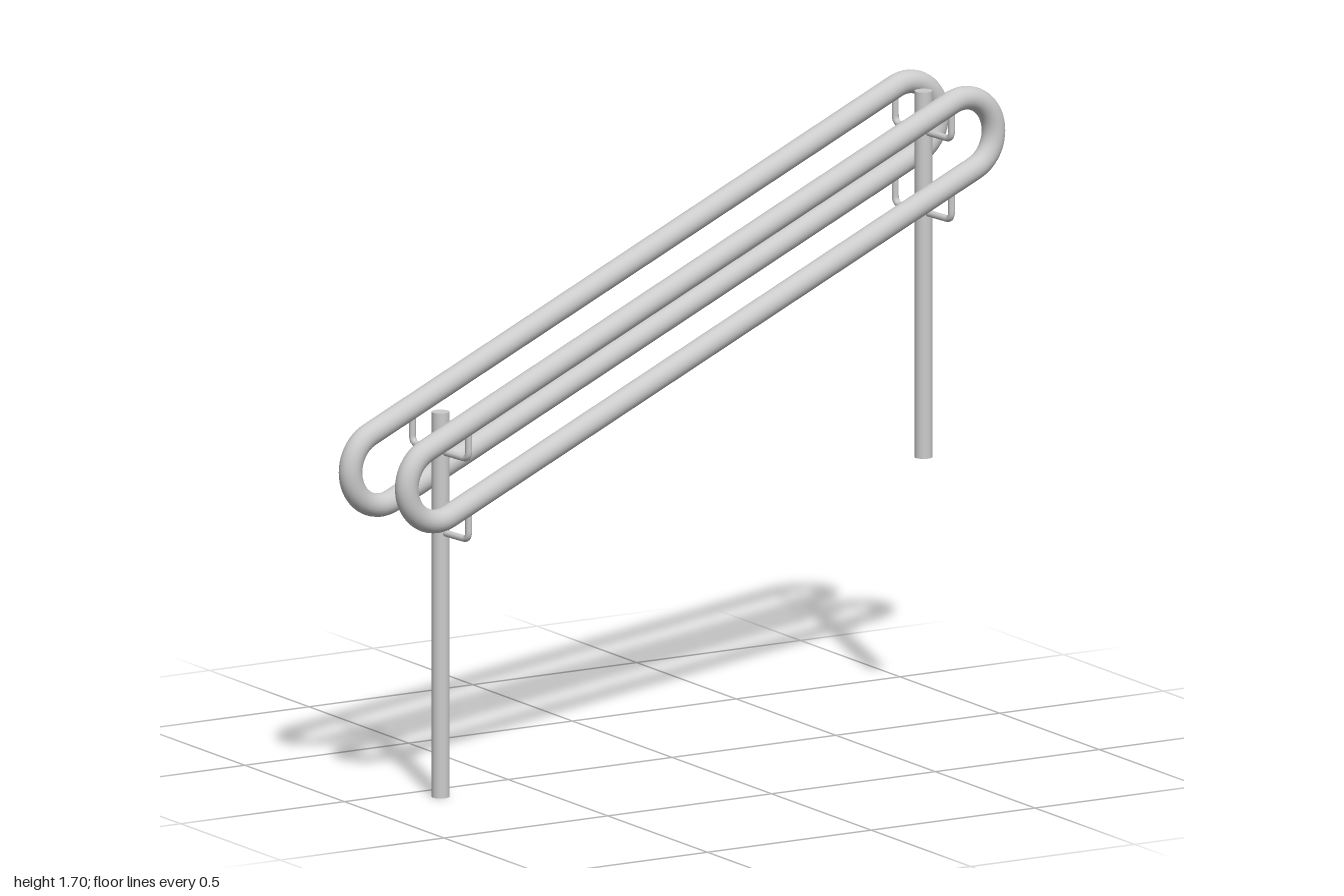
import * as THREE from 'three';

const material = new THREE.MeshStandardMaterial({ color: 0xcccccc });
const YAW = THREE.MathUtils.degToRad(6);  // rail runs slightly across the x axis
const HALF_GAP = 0.121;                   // post line to each rail loop
const MID_Y = 1.22, HALF_RUN = 0.862, HALF_RISE = 0.347;
const LOOP_R = 0.1, TUBE_R = 0.031;
const pitch = Math.atan2(HALF_RISE, HALF_RUN);
const halfLen = Math.hypot(HALF_RUN, HALF_RISE);

const v = (x, y, z = 0) => new THREE.Vector3(x, y, z);

function add(parent, name, geometry, x = 0, y = 0, z = 0) {
  const mesh = new THREE.Mesh(geometry, material);
  mesh.name = name;
  mesh.position.set(x, y, z);
  parent.add(mesh);
  return mesh;
}

// Closed stadium path: two straight runs joined by half circles
class StadiumCurve extends THREE.Curve {
  getPoint(t, target = v(0, 0)) {
    const straight = 2 * halfLen, arc = Math.PI * LOOP_R;
    let d = (t % 1) * 2 * (straight + arc);
    const side = d < straight + arc ? 1 : -1;
    if (side < 0) d -= straight + arc;
    if (d < straight) return target.set(side * (d - halfLen), -side * LOOP_R, 0);
    const a = (d - straight) / LOOP_R;
    return target.set(side * (halfLen + LOOP_R * Math.sin(a)), -side * LOOP_R * Math.cos(a), 0);
  }
}

// U-shaped rod through the post, its ends turned up into the rails
function bracketPath(depth) {
  const c = 0.022, w = HALF_GAP;
  const path = new THREE.CurvePath();
  path.add(new THREE.LineCurve3(v(0, depth, -w), v(0, c, -w)));
  path.add(new THREE.QuadraticBezierCurve3(v(0, c, -w), v(0, 0, -w), v(0, 0, -w + c)));
  path.add(new THREE.LineCurve3(v(0, 0, -w + c), v(0, 0, w - c)));
  path.add(new THREE.QuadraticBezierCurve3(v(0, 0, w - c), v(0, 0, w), v(0, c, w)));
  path.add(new THREE.LineCurve3(v(0, c, w), v(0, depth, w)));
  return path;
}

export function createModel() {
  const model = new THREE.Group();
  model.name = 'doubleHandrail';
  const rail = new THREE.Group();
  rail.name = 'handrailAssembly';
  rail.rotation.y = YAW;
  model.add(rail);

  // Two parallel sloping rail loops
  const loopGeometry = new THREE.TubeGeometry(new StadiumCurve(), 400, TUBE_R, 24, true);
  for (const s of [1, -1]) {
    const loop = add(rail, s > 0 ? 'frontRailLoop' : 'backRailLoop', loopGeometry, 0, MID_Y, s * HALF_GAP);
    loop.rotation.z = pitch;
  }

  // Posts with a bracket under each of the two rail runs
  const bracketGeometry = new THREE.TubeGeometry(bracketPath(0.08), 90, 0.009, 12, false);
  const posts = [
    { side: 'right', x: -0.759, bottom: 0, top: 1.03 },
    { side: 'left', x: 0.8245, bottom: 0.69, top: 1.67 },
  ];
  for (const { side, x, bottom, top } of posts) {
    const height = top - bottom;
    add(rail, side + 'Post', new THREE.CylinderGeometry(0.0235, 0.0235, height, 32), x, bottom + height / 2, 0);
    for (const s of [1, -1]) {
      const runY = MID_Y + x * Math.tan(pitch) + s * LOOP_R / Math.cos(pitch);
      add(rail, side + (s > 0 ? 'UpperBracket' : 'LowerBracket'), bracketGeometry, x, runY - 0.098, 0);
    }
  }
  return model;
}
